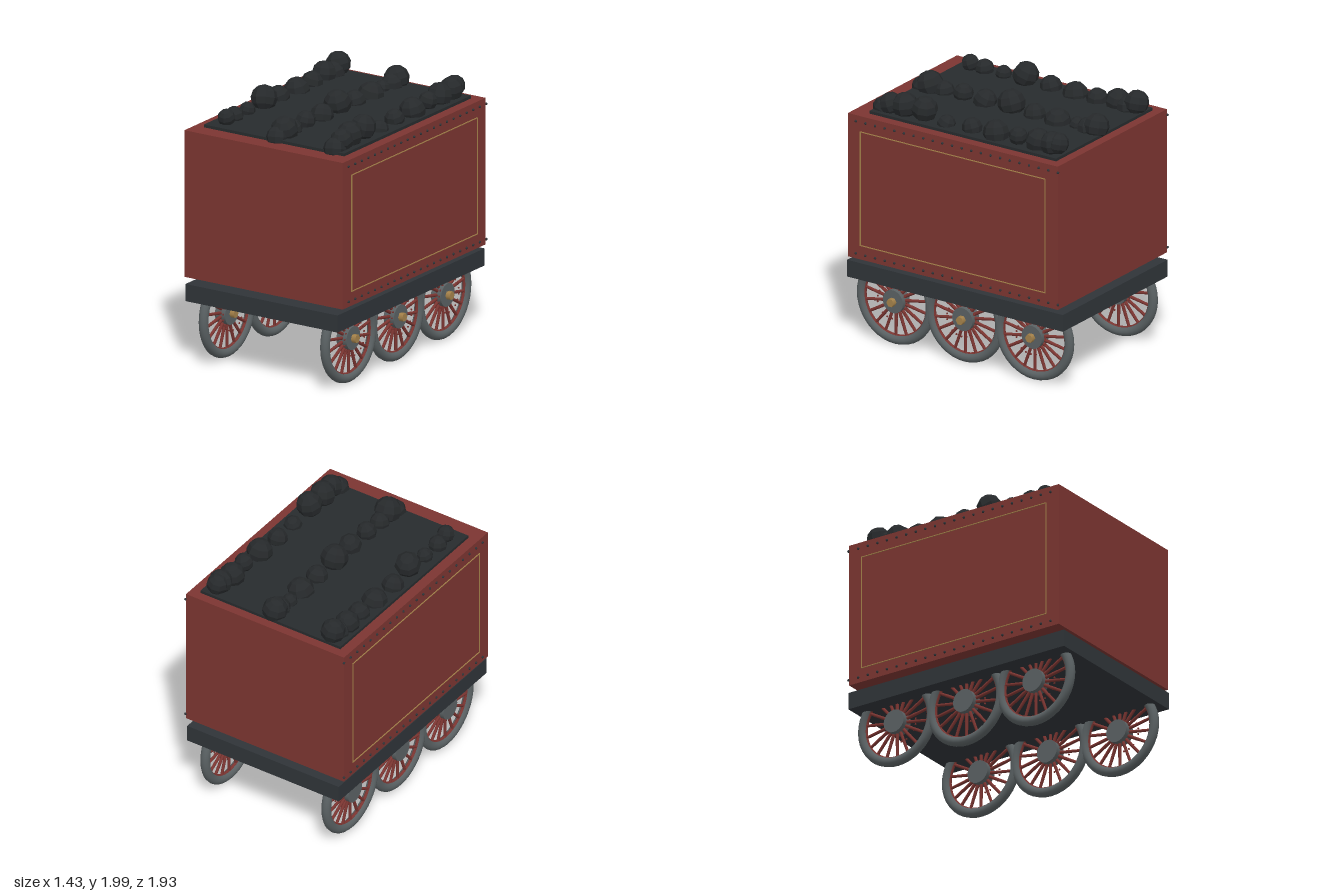
import * as THREE from 'three';

const mat = (color, extra = {}) => new THREE.MeshStandardMaterial({ color, ...extra });
const RED = mat(0x7c3531);
const IRON = mat(0x2f3438);
const STEEL = mat(0x5a6163);
const BRASS = mat(0xa5824a);
const BED = mat(0x272b2d);
const COAL = mat(0x26292b, { flatShading: true });

function add(parent, name, geometry, material, x = 0, y = 0, z = 0) {
  const mesh = new THREE.Mesh(geometry, material);
  mesh.name = name;
  mesh.position.set(x, y, z);
  parent.add(mesh);
  return mesh;
}

const box = (w, h, d) => new THREE.BoxGeometry(w, h, d);
// Cylinder lying along x
const disc = (r, length, sides) => new THREE.CylinderGeometry(r, r, length, sides).rotateZ(Math.PI / 2);

// Spoked wheel with its axle along x and its nut on the +x side
function makeWheel() {
  const wheel = new THREE.Group();
  wheel.name = 'wheel';
  add(wheel, 'tyre', new THREE.TorusGeometry(0.308, 0.036, 12, 40).rotateY(Math.PI / 2), STEEL);
  add(wheel, 'rim', new THREE.TorusGeometry(0.28, 0.014, 8, 40).rotateY(Math.PI / 2), RED);
  add(wheel, 'hub', disc(0.09, 0.09, 24), STEEL, -0.002);
  add(wheel, 'axleNut', disc(0.033, 0.04, 6), BRASS, 0.06);

  const spokeCount = 18;
  const spoke = new THREE.CylinderGeometry(0.011, 0.013, 0.22, 8).translate(0, 0.18, 0);
  const rivet = disc(0.007, 0.008, 6);
  for (let i = 0; i < spokeCount; i++) {
    const a = Math.PI + (i / spokeCount) * Math.PI * 2;
    add(wheel, 'spoke', spoke, RED).rotation.x = a;
    add(wheel, 'spokeRivet', rivet, RED, 0.052, Math.cos(a) * 0.13, Math.sin(a) * 0.13);
  }
  return wheel;
}

// Rivet rows and a thin beading rectangle on one side wall
function addSideTrim(parent, side) {
  const x = side * 0.7;
  const rivet = new THREE.SphereGeometry(0.01, 8, 6);
  for (const y of [0.717, 1.76]) {
    for (let i = 0; i < 22; i++) add(parent, 'bodyRivet', rivet, IRON, x + side * 0.003, y, 0.865 - i * 0.086);
  }
  for (const y of [0.787, 1.683]) add(parent, 'beading', box(0.012, 0.006, 1.65), BRASS, x, y, 0);
  for (const z of [-0.825, 0.825]) add(parent, 'beading', box(0.012, 0.9, 0.008), BRASS, x, 1.235, z);
}

// Lump rows: x of the row, then [z, radius, height] for each lump
const LUMP_ROWS = [
  [-0.51, [
    [-0.8, 0.095, 1.89], [-0.73, 0.09, 1.84], [-0.625, 0.095, 1.86], [-0.45, 0.085, 1.84],
    [-0.255, 0.1, 1.83], [-0.03, 0.085, 1.84], [0.185, 0.1, 1.89], [0.39, 0.062, 1.85],
    [0.56, 0.072, 1.85], [0.68, 0.067, 1.87]]],
  [0.005, [
    [-0.8, 0.098, 1.87], [-0.73, 0.085, 1.84], [-0.62, 0.06, 1.84], [-0.455, 0.105, 1.83],
    [-0.25, 0.085, 1.84], [-0.035, 0.105, 1.88], [0.19, 0.09, 1.85], [0.39, 0.077, 1.86],
    [0.56, 0.077, 1.84], [0.68, 0.105, 1.87], [0.755, 0.085, 1.83]]],
  [0.51, [
    [-0.81, 0.082, 1.9], [-0.76, 0.092, 1.89], [-0.625, 0.098, 1.875], [-0.455, 0.072, 1.88],
    [-0.255, 0.1, 1.86], [-0.035, 0.077, 1.85], [0.185, 0.072, 1.83], [0.385, 0.1, 1.9],
    [0.56, 0.1, 1.89], [0.68, 0.088, 1.88], [0.75, 0.088, 1.83]]],
];

export function createModel() {
  const model = new THREE.Group();
  model.name = 'coalTender';

  // Bodywork and underframe
  add(model, 'body', box(1.4, 1.13, 1.875), RED, 0, 1.241, 0);
  add(model, 'underframe', box(1.344, 0.132, 1.928), IRON, 0, 0.567, 0);
  for (const side of [-1, 1]) addSideTrim(model, side);

  // Coal bed with three rows of lumps
  add(model, 'coalBed', box(1.24, 0.06, 1.667), BED, 0, 1.798, -0.033);
  const lump = new THREE.SphereGeometry(1, 8, 6);
  for (const [x, lumps] of LUMP_ROWS) {
    lumps.forEach(([z, r, y], i) => {
      const mesh = add(model, 'coalLump', lump, COAL, x + 0.008 * Math.sin(i * 2.3), y, z);
      mesh.scale.setScalar(r);
      mesh.rotation.set(0.25 * Math.sin(i * 1.7), i * 0.9, 0.25 * Math.cos(i * 2.1));
    });
  }

  // Three pairs of wheels
  for (const x of [-0.537, 0.537]) {
    for (const z of [-0.62, 0, 0.62]) {
      const wheel = makeWheel();
      wheel.position.set(x, 0.35, z);
      model.add(wheel);
    }
  }

  // Shift to the centre line
  for (const part of model.children) part.position.x -= 0.006;
  return model;
}
